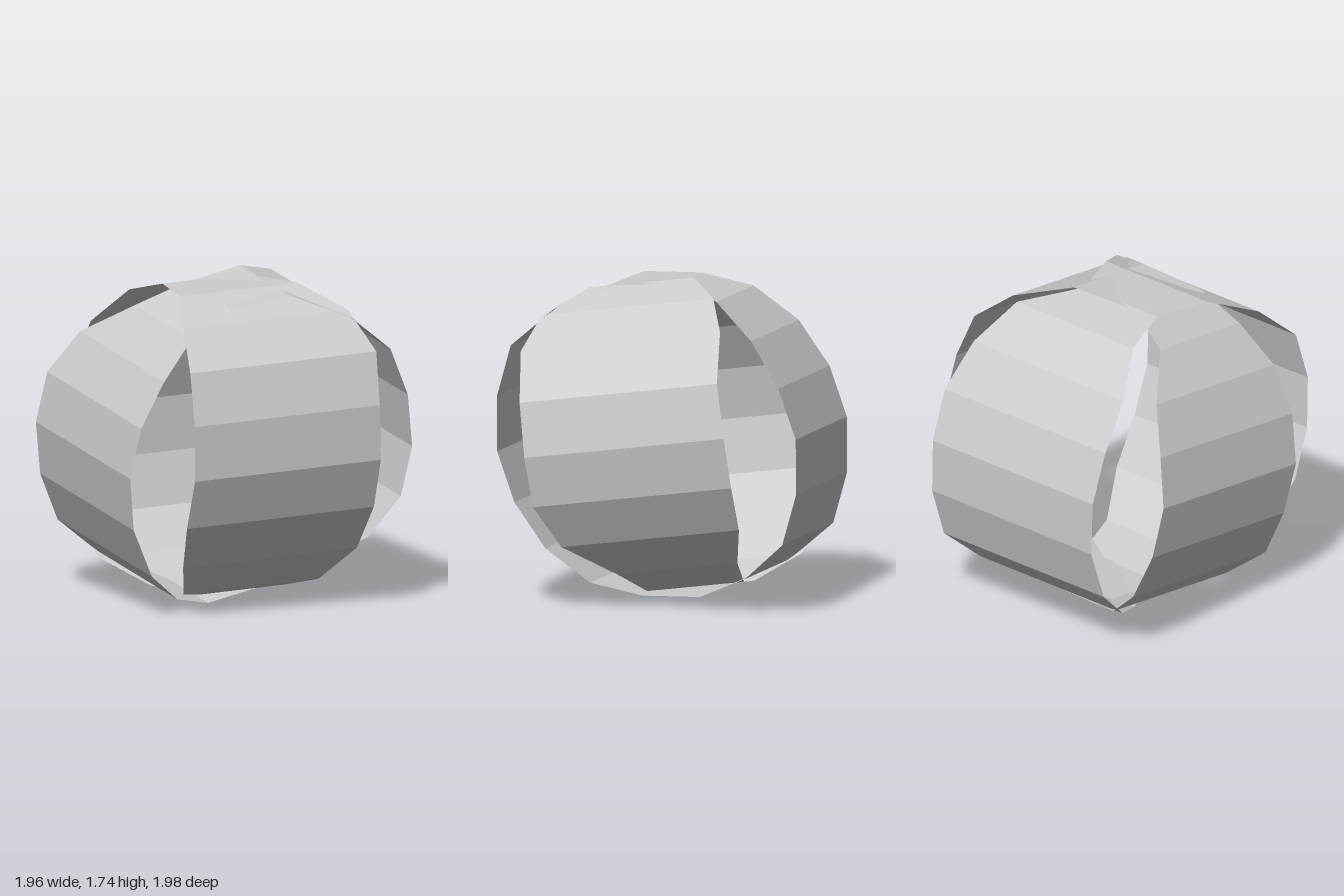
import * as THREE from 'three';

const material = new THREE.MeshStandardMaterial({ color: 0xcccccc, flatShading: true, side: THREE.DoubleSide });

// Open faceted hoop around a slanted axis. Each outline row holds
// [out, up, near rim, far rim], the rims in half widths along the axis.
// Rows cover the upper half; the lower half is the same turned through the centre.
function hoop(name, halfAxis, outline) {
  const axis = halfAxis.clone().normalize();
  const up = new THREE.Vector3(0, 1, 0).addScaledVector(axis, -axis.y).normalize();
  const out = new THREE.Vector3().crossVectors(up, axis).normalize();
  if (out.x < 0) out.negate();

  const rows = [...outline, ...outline.map(([u, v, near, far]) => [-u, -v, -far, -near])];
  const positions = [];
  const index = [];
  rows.forEach(([u, v, near, far], i) => {
    const centre = out.clone().multiplyScalar(u).addScaledVector(up, v);
    for (const rim of [near, far]) {
      positions.push(...centre.clone().addScaledVector(halfAxis, rim).toArray());
    }
    const p = 2 * i;
    const q = 2 * ((i + 1) % rows.length);
    index.push(p, q, p + 1, q, q + 1, p + 1);
  });

  const geometry = new THREE.BufferGeometry();
  geometry.setAttribute('position', new THREE.Float32BufferAttribute(positions, 3));
  geometry.setIndex(index);
  geometry.computeVertexNormals();
  const mesh = new THREE.Mesh(geometry, material);
  mesh.name = name;
  mesh.position.y = 0.87;
  return mesh;
}

export function createModel() {
  const group = new THREE.Group();
  group.name = 'crossedHoops';

  // Hoop running from back right to front left
  group.add(hoop('tiltedHoop', new THREE.Vector3(0.425, -0.07, 0.34), [
    [0.81, 0.04, -0.9, 1.1],
    [0.765, 0.33, -0.88, 1.1],
    [0.65, 0.59, -0.92, 1.08],
    [0.455, 0.75, -0.8, 0.92],
    [0.18, 0.84, -0.5, 0.55],
    [-0.185, 0.8, -0.35, 0.62],
    [-0.435, 0.67, -0.5, 0.7],
    [-0.628, 0.473, -0.93, 0.85],
    [-0.76, 0.232, -1.1, 0.89],
  ]));

  // Hoop running from back left to front right
  group.add(hoop('levelHoop', new THREE.Vector3(0.345, 0.015, -0.43), [
    [0.83, 0.23, -1.08, 0.92],
    [0.75, 0.505, -1.04, 0.97],
    [0.53, 0.7, -0.9, 0.88],
    [0.25, 0.82, -0.67, 0.6],
    [-0.08, 0.831, -0.55, 0.37],
    [-0.348, 0.765, -0.66, 0.8],
    [-0.567, 0.575, -0.88, 1.0],
    [-0.731, 0.333, -0.92, 1.1],
    [-0.827, 0.065, -0.92, 1.09],
  ]));

  return group;
}
